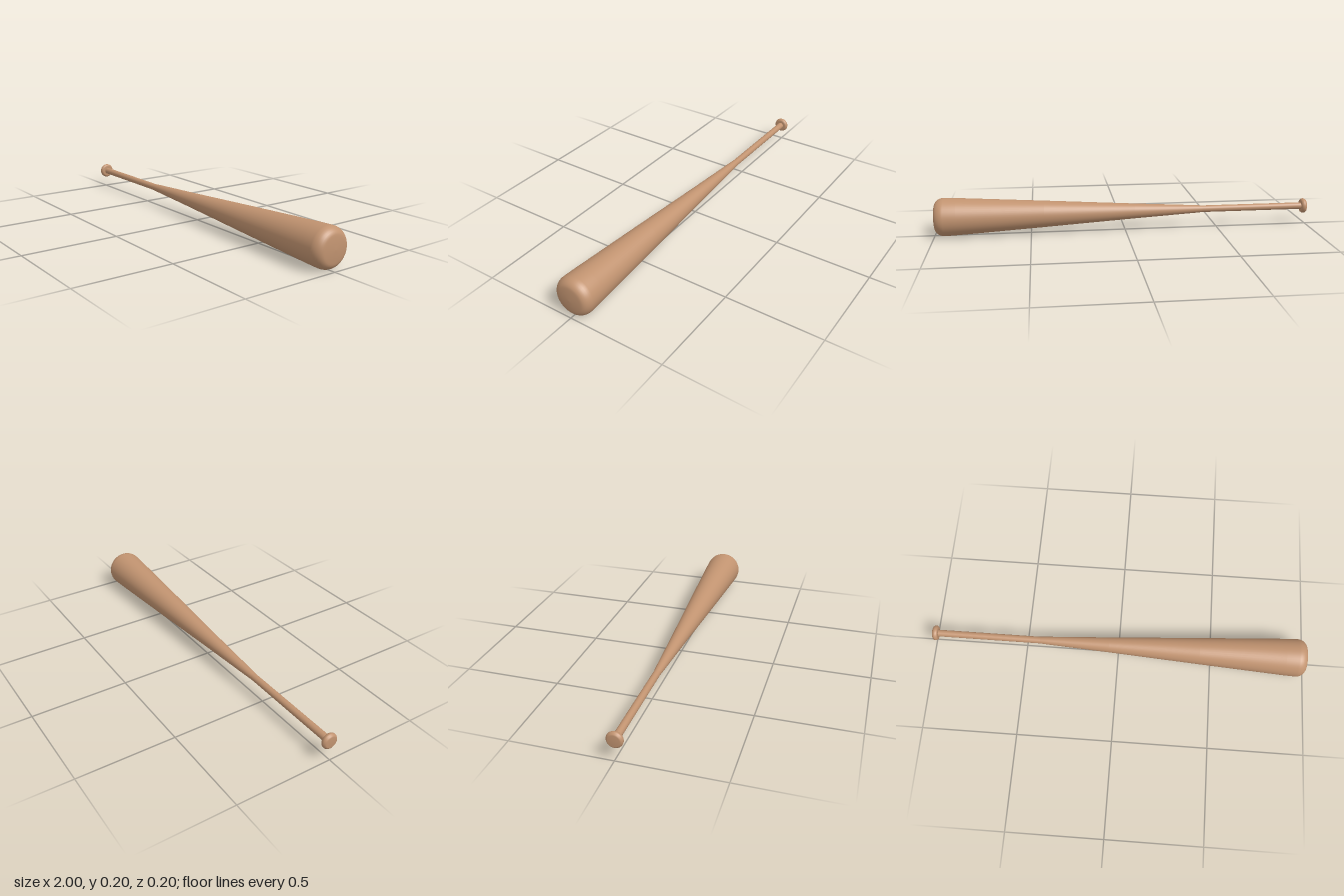
import * as THREE from 'three';

const R = 0.1; // largest radius, also the height of the axis

export function createModel() {
  const model = new THREE.Group();
  model.name = 'bat';
  const wood = new THREE.MeshStandardMaterial({ color: 0xc19370 });
  wood.name = 'wood';

  // Turned part: points are [radius, position along x]
  const turned = (name, points) => {
    const profile = points.map(([r, x]) => new THREE.Vector2(r, x));
    const mesh = new THREE.Mesh(new THREE.LatheGeometry(profile, 48), wood);
    mesh.name = name;
    mesh.rotation.z = -Math.PI / 2;
    mesh.position.y = R;
    model.add(mesh);
  };

  // Quarter-round edge from the side onto an end face
  const roundEdge = (r, x, dr, dx, steps) =>
    Array.from({ length: steps + 1 }, (_, i) => {
      const a = (i / steps) * Math.PI / 2;
      return [r - dr + dr * Math.cos(a), x + dx * Math.sin(a)];
    });

  // Knob at the grip end
  turned('knob', [
    [0, -1], [0.028, -1], [0.034, -0.997], [0.039, -0.99], [0.04, -0.985],
    [0.039, -0.979], [0.035, -0.973], [0.03, -0.971], [0.016, -0.971],
  ]);

  // Straight handle
  turned('handle', [[0.018, -0.975], [0.018, -0.42]]);

  // Tapered barrel with a rounded end
  turned('barrel', [
    [0.018, -0.42], [0.021, -0.38], [0.04, -0.05], [0.07, 0.43], [0.097, 0.88],
    ...roundEdge(R, 0.945, 0.04, 0.05, 8),
    [0.055, 0.996], [0.03, 0.999], [0, 1],
  ]);

  return model;
}
